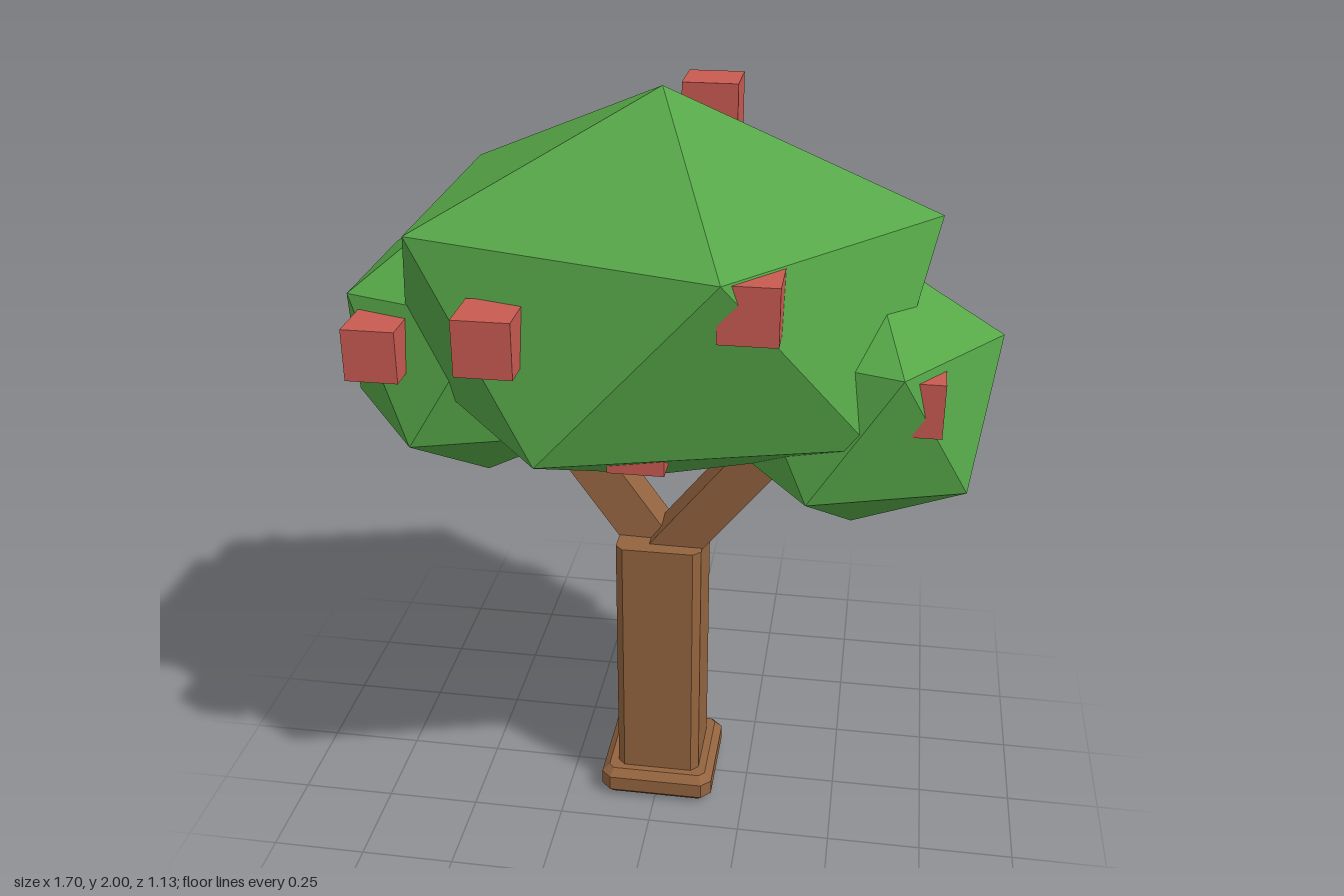
import * as THREE from 'three';

function material(name, color) {
  const m = new THREE.MeshStandardMaterial({ color, flatShading: true });
  m.name = name;
  return m;
}

// Square outline with cut corners
function chamferedSquare(half, cut) {
  const a = half, b = half - cut;
  return new THREE.Shape(
    [[a, -b], [a, b], [b, a], [-b, a], [-a, b], [-a, -b], [-b, -a], [b, -a]]
      .map(([x, y]) => new THREE.Vector2(x, y)));
}

// Upright post from the chamfered outline, standing on y = 0
function post(half, cut, height, bevel = 0) {
  const g = new THREE.ExtrudeGeometry(chamferedSquare(half - bevel, cut), {
    depth: height - 2 * bevel, bevelEnabled: bevel > 0,
    bevelSize: bevel, bevelThickness: bevel, bevelSegments: 1,
  });
  return g.translate(0, 0, bevel).rotateX(-Math.PI / 2);
}

// Icosahedron standing on a corner, with an upper ring corner towards +x
function foliage(rx, ry, rz) {
  const g = new THREE.IcosahedronGeometry(1, 0);
  g.rotateX(-Math.atan((1 + Math.sqrt(5)) / 2)).rotateY(Math.PI / 2).scale(rx, ry, rz);
  g.computeVertexNormals();
  return g;
}

export function createModel() {
  const wood = material('wood', 0x94643f);
  const leaf = material('leaf green', 0x56a748);
  const red = material('fruit red', 0xc85a50);
  const tree = new THREE.Group();
  tree.name = 'tree';

  const add = (name, geometry, mat, x, y, z) => {
    const mesh = new THREE.Mesh(geometry, mat);
    mesh.name = name;
    mesh.position.set(x, y, z);
    tree.add(mesh);
    return mesh;
  };

  // Foot and trunk
  add('trunkFoot', post(0.157, 0.015, 0.082, 0.02), wood, 0.003, 0.003, 0);
  add('trunk', post(0.115, 0.02, 0.725), wood, 0.004, 0.07, 0.002);

  // Two square branches leaning out of the trunk
  const branch = (name, from, to) => {
    const a = new THREE.Vector3(...from), d = new THREE.Vector3(...to).sub(a);
    const mesh = add(name, new THREE.BoxGeometry(0.115, d.length(), 0.115), wood, 0, 0, 0);
    mesh.position.copy(a).addScaledVector(d, 0.5);
    mesh.quaternion.setFromUnitVectors(new THREE.Vector3(0, 1, 0), d.normalize());
  };
  branch('rightBranch', [0, 0.74, -0.01], [-0.28, 1.1, -0.055]);
  branch('leftBranch', [0.005, 0.74, 0.015], [0.3, 1.12, 0.04]);

  // Crown
  add('mainFoliage', foliage(0.76, 0.515, 0.665), leaf, 0, 1.485, 0);
  add('rightFoliage', foliage(0.392, 0.398, 0.394), leaf, -0.5, 1.302, -0.085);
  add('leftFoliage', foliage(0.38, 0.375, 0.379), leaf, 0.505, 1.273, 0.05);

  // Cube fruit
  const cube = new THREE.BoxGeometry(0.136, 0.136, 0.136);
  [
    [-0.315, 1.538, 0.5], [-0.683, 1.378, 0.21], [0.108, 1.932, -0.108],
    [0.268, 1.642, 0.475], [0.638, 1.352, 0.265], [0.48, 1.588, -0.318],
    [-0.313, 1.71, -0.318], [0.008, 1.273, 0.398],
  ].forEach(([x, y, z], i) => add(`fruit${i + 1}`, cube, red, x, y, z));

  return tree;
}
